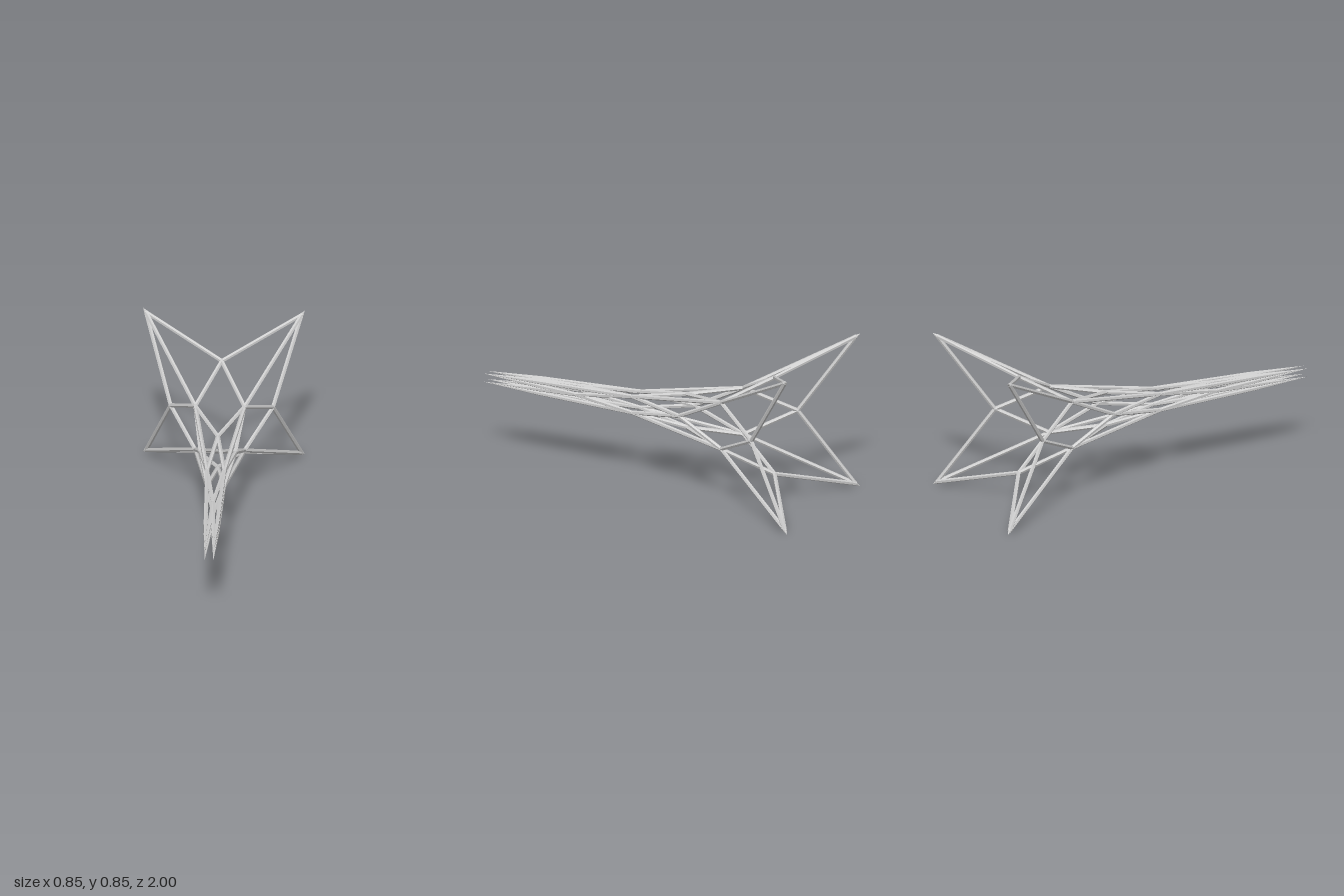
import * as THREE from 'three';

const CENTRE_Y = 0.428;
const ROD = 0.0115;

// Rings of four joints: diagonal rings hold corner joints, the others sit on the x and y axes
const rings = [
  { z: -0.98, r: 0.411, diagonal: true, tip: 0 },
  { z: -0.71, r: 0.27 },
  { z: -0.46, r: 0.13, diagonal: true, tip: 0 },
  { z: -0.19, r: 0.092 },
  { z: 0.11, r: 0.045, diagonal: true, tip: 0 },
  { z: 0.45, r: 0.036 },
  { z: 1.0, r: 0.023, diagonal: true, tip: 0.32 },
];
const flare = { z: -1.0, r: 0.427, diagonal: true };

function joint(ring, i) {
  const angle = (i + (ring.diagonal ? 0.5 : 0)) * Math.PI / 2;
  const radius = ring.diagonal ? ring.r * Math.SQRT2 : ring.r;
  return new THREE.Vector3(Math.cos(angle) * radius, Math.sin(angle) * radius, ring.z);
}

export function createModel() {
  const model = new THREE.Group();
  model.name = 'latticeHorn';
  const grey = new THREE.MeshStandardMaterial({ color: 0xcccccc });
  grey.name = 'light grey';
  grey.flatShading = true;

  // Six-sided rod from a to b, drawn to a point over the length tip at b
  function addRod(name, a, b, tip) {
    const dir = b.clone().sub(a);
    const length = dir.length();
    const profile = [[0, 0], [ROD, 0], [ROD, length - tip], [0, length]];
    const geometry = new THREE.LatheGeometry(profile.map(p => new THREE.Vector2(...p)), 6);
    const rod = new THREE.Mesh(geometry, grey);
    rod.name = name;
    rod.position.copy(a);
    rod.quaternion.setFromUnitVectors(new THREE.Vector3(0, 1, 0), dir.normalize());
    model.add(rod);
  }

  // Joints where the rods meet
  for (const ring of rings.slice(0, -1)) {
    for (let i = 0; i < 4; i++) {
      const knot = new THREE.Mesh(new THREE.IcosahedronGeometry(ROD * 1.04, 1), grey);
      knot.name = 'joint';
      knot.position.copy(joint(ring, i));
      model.add(knot);
    }
  }

  // Sharp points on the flared corners
  for (let i = 0; i < 4; i++) {
    const base = joint(rings[0], i), apex = joint(flare, i);
    addRod('flarePoint', base, apex, base.distanceTo(apex));
  }

  // Zigzag rods between neighbouring rings
  for (let k = 0; k < rings.length - 1; k++) {
    const [axial, corner] = rings[k].diagonal ? [rings[k + 1], rings[k]] : [rings[k], rings[k + 1]];
    for (let i = 0; i < 4; i++) {
      for (const side of [0, -1]) {
        addRod('zigzagRod', joint(axial, i), joint(corner, i + side), corner.tip);
      }
    }
  }

  // Long corner rods running from the flared points to the narrow spikes
  for (let k = 0; k < rings.length - 2; k += 2) {
    for (let i = 0; i < 4; i++) {
      addRod('cornerRod', joint(rings[k], i), joint(rings[k + 2], i), rings[k + 2].tip);
    }
  }

  model.position.y = CENTRE_Y;
  const root = new THREE.Group();
  root.name = 'model';
  root.add(model);
  return root;
}
